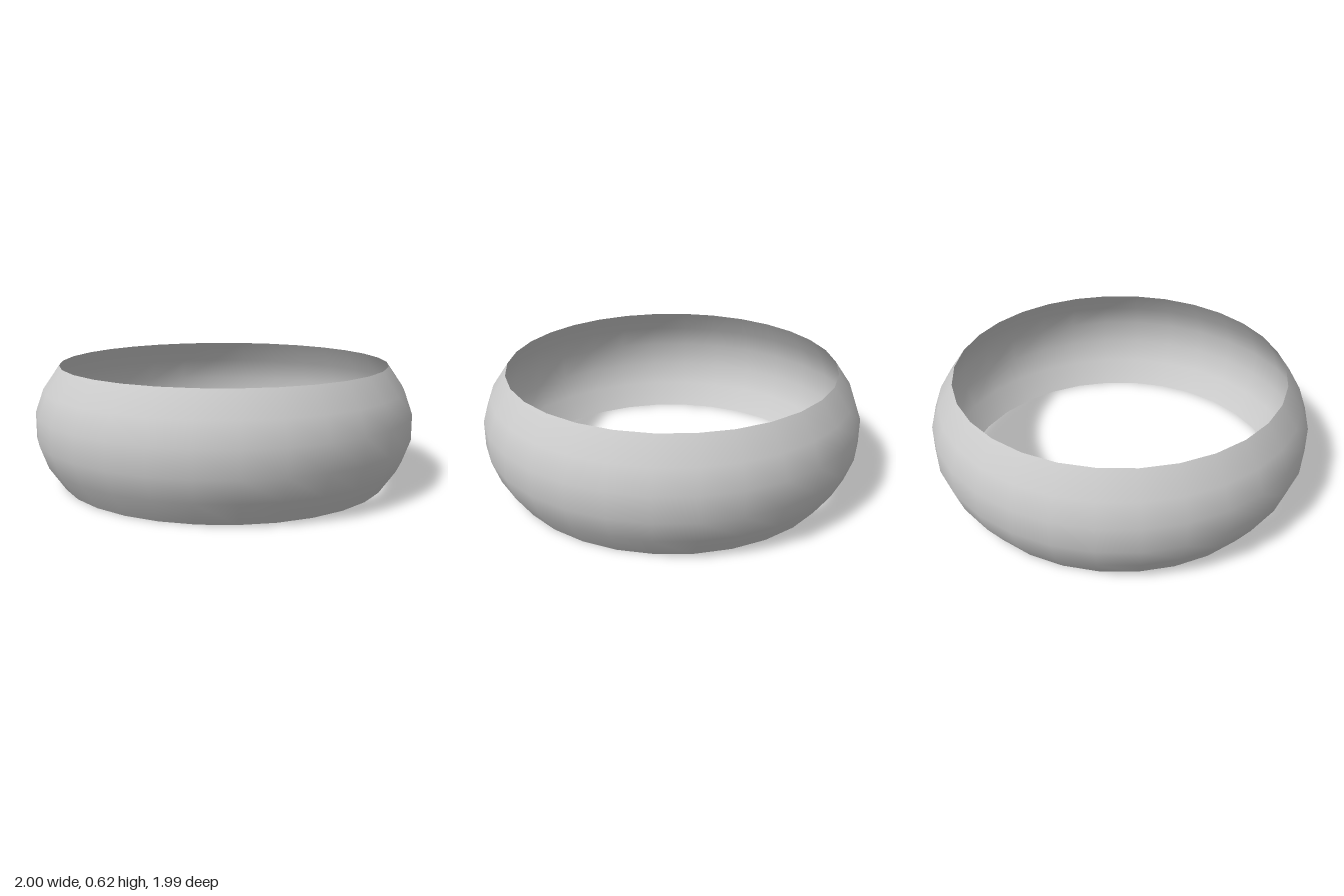
import * as THREE from 'three';

export function createModel() {
  const group = new THREE.Group();
  group.name = 'ring';

  // Thin bulging band: half profile (radius, height from the middle), mirrored
  const upper = [[1, 0.068], [0.957, 0.188], [0.872, 0.311]];
  const middle = 0.311;
  const profile = [
    ...upper.map(([r, h]) => new THREE.Vector2(r, middle - h)).reverse(),
    ...upper.map(([r, h]) => new THREE.Vector2(r, middle + h)),
  ];

  // 30 sides, with a corner on the x axis
  const band = new THREE.Mesh(
    new THREE.LatheGeometry(profile, 30, Math.PI / 2),
    new THREE.MeshStandardMaterial({ color: 0xcccccc, side: THREE.DoubleSide })
  );
  band.name = 'band';
  group.add(band);
  return group;
}
